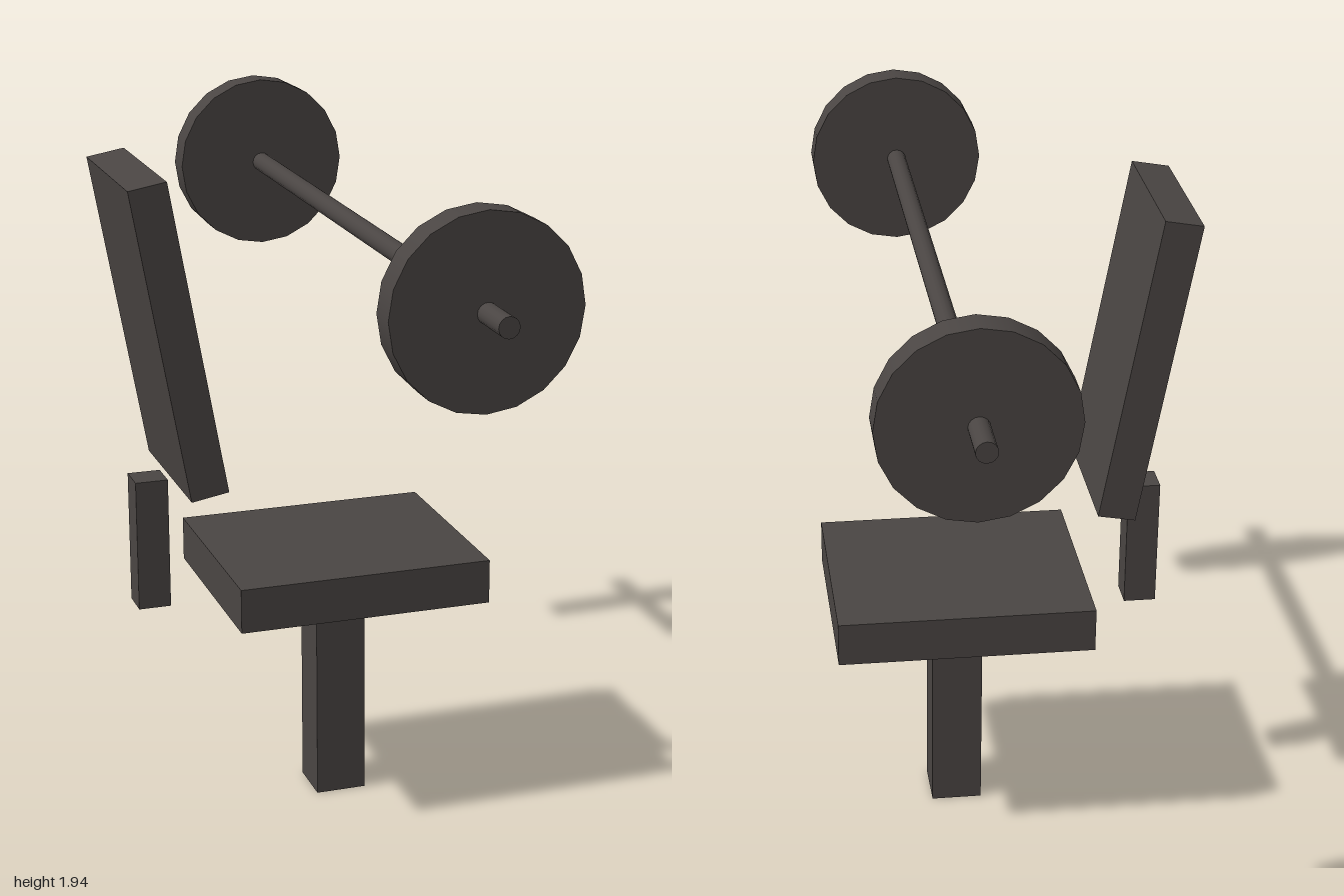
import * as THREE from 'three';

export function createModel() {
  const model = new THREE.Group();
  model.name = 'weightBench';

  const darkMetal = new THREE.MeshStandardMaterial({ color: 0x4a4543 });
  darkMetal.name = 'darkMetal';

  // Everything is laid out straight, then the whole bench is turned 30 degrees
  const bench = new THREE.Group();
  bench.name = 'bench';
  bench.rotation.y = -Math.PI / 6;
  model.add(bench);

  function add(name, geometry, x, y, z) {
    const mesh = new THREE.Mesh(geometry, darkMetal);
    mesh.name = name;
    mesh.position.set(x, y, z);
    bench.add(mesh);
    return mesh;
  }

  // Cylinder lying along x
  const rod = (radius, length, sides) =>
    new THREE.CylinderGeometry(radius, radius, length, sides).rotateZ(Math.PI / 2);

  // Pedestal and seat
  add('pedestal', new THREE.BoxGeometry(0.146, 0.635, 0.146), 0, 0.3175, 0.07);
  add('seat', new THREE.BoxGeometry(0.62, 0.127, 0.728), -0.005, 0.698, 0.068);

  // Upright behind the seat, and the reclined backrest
  add('backrestPost', new THREE.BoxGeometry(0.092, 0.375, 0.092), -0.003, 0.8225, 0.61);
  const backrest = add('backrest', new THREE.BoxGeometry(0.477, 0.88, 0.107), -0.005, 1.447, 0.57);
  backrest.rotation.x = THREE.MathUtils.degToRad(10);

  // Barbell: bar with one plate near each end
  add('bar', rod(0.028, 2.276, 16), 0, 1.682, 0);
  for (const side of [-1, 1]) {
    add(side > 0 ? 'leftPlate' : 'rightPlate', rod(0.255, 0.086, 20), side * 0.957, 1.682, 0);
  }

  return model;
}
